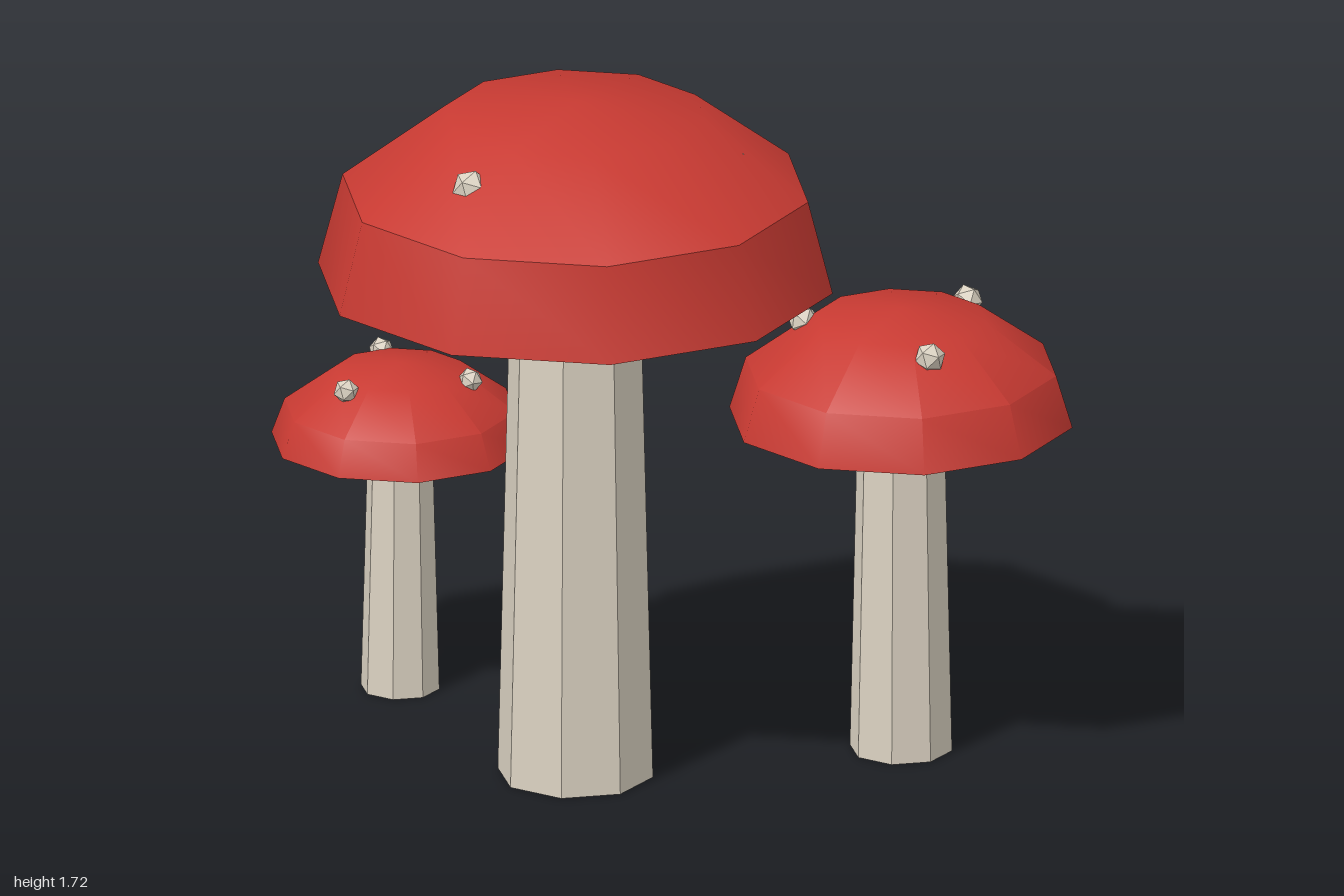
import * as THREE from 'three';
import { toCreasedNormals } from 'three/addons/utils/BufferGeometryUtils.js';

const CREASE = THREE.MathUtils.degToRad(36);

// Ten-sided turned part with a corner on the x axis; profile runs bottom to top
function turned(profile, material, name) {
  const points = profile.map(([r, y]) => new THREE.Vector2(r, y));
  const geometry = new THREE.LatheGeometry(points, 10);
  geometry.rotateY(Math.PI / 2);
  const mesh = new THREE.Mesh(toCreasedNormals(geometry, CREASE), material);
  mesh.name = name;
  return mesh;
}

function makeMushroom(m, mats) {
  const group = new THREE.Group();
  group.name = m.name;
  group.position.set(m.x, 0, m.z);

  // Tapered eight-sided stem, ending just inside the cap
  const [rBottom, rTop] = m.stem;
  const height = m.base + 0.02;
  const stemGeometry = new THREE.CylinderGeometry(rTop, rBottom, height, 8);
  stemGeometry.translate(0, height / 2, 0);
  const stem = new THREE.Mesh(toCreasedNormals(stemGeometry, 0.4), mats.cream);
  stem.name = 'stem';
  group.add(stem);

  // Red dome and shallow pale underside
  const [rimR, rimY] = m.cap[0];
  group.add(turned(m.cap, mats.red, 'capDome'));
  group.add(turned([[0, m.base], [rimR * 0.31, m.base], [rimR, rimY]], mats.cream, 'capUnderside'));

  // Faceted spots sunk into the dome
  m.spots.forEach(([x, y, z], i) => {
    const spot = new THREE.Mesh(new THREE.IcosahedronGeometry(m.spotSize, 0).toNonIndexed
      ? new THREE.IcosahedronGeometry(m.spotSize, 0) : null, mats.cream);
    spot.name = 'spot' + (i + 1);
    spot.position.set(x, y, z);
    spot.rotation.set(0.6 + i * 1.3, 0.4 + i * 0.9, i * 0.7);
    group.add(spot);
  });
  return group;
}

export function createModel() {
  const mats = {
    red: new THREE.MeshStandardMaterial({ color: 0xc83a32 }),
    cream: new THREE.MeshStandardMaterial({ color: 0xdad1c1 }),
  };
  mats.red.name = 'red';
  mats.cream.name = 'cream';

  const mushrooms = [
    {
      name: 'largeMushroom', x: -0.16, z: 0.11, stem: [0.19, 0.16], base: 1.215,
      cap: [[0.63, 1.265], [0.57, 1.495], [0.32, 1.685], [0, 1.715]],
      spotSize: 0.046,
      spots: [[-0.195, 1.6, -0.335], [-0.195, 1.6, 0.335], [0.39, 1.575, 0]],
    },
    {
      name: 'mediumMushroom', x: 0.58, z: -0.205, stem: [0.125, 0.107], base: 0.795,
      cap: [[0.42, 0.845], [0.38, 0.975], [0.21, 1.1], [0, 1.125]],
      spotSize: 0.038,
      spots: [[0.125, 1.08, -0.21], [0.11, 1.08, 0.215], [-0.24, 1.08, 0]],
    },
    {
      name: 'smallMushroom', x: -0.685, z: -0.42, stem: [0.096, 0.08], base: 0.58,
      cap: [[0.315, 0.632], [0.283, 0.72], [0.16, 0.81], [0, 0.83]],
      spotSize: 0.031,
      spots: [[-0.075, 0.802, -0.16], [-0.105, 0.802, 0.15], [0.175, 0.802, 0.02]],
    },
  ];

  const model = new THREE.Group();
  model.name = 'mushroomCluster';
  for (const m of mushrooms) model.add(makeMushroom(m, mats));
  return model;
}
